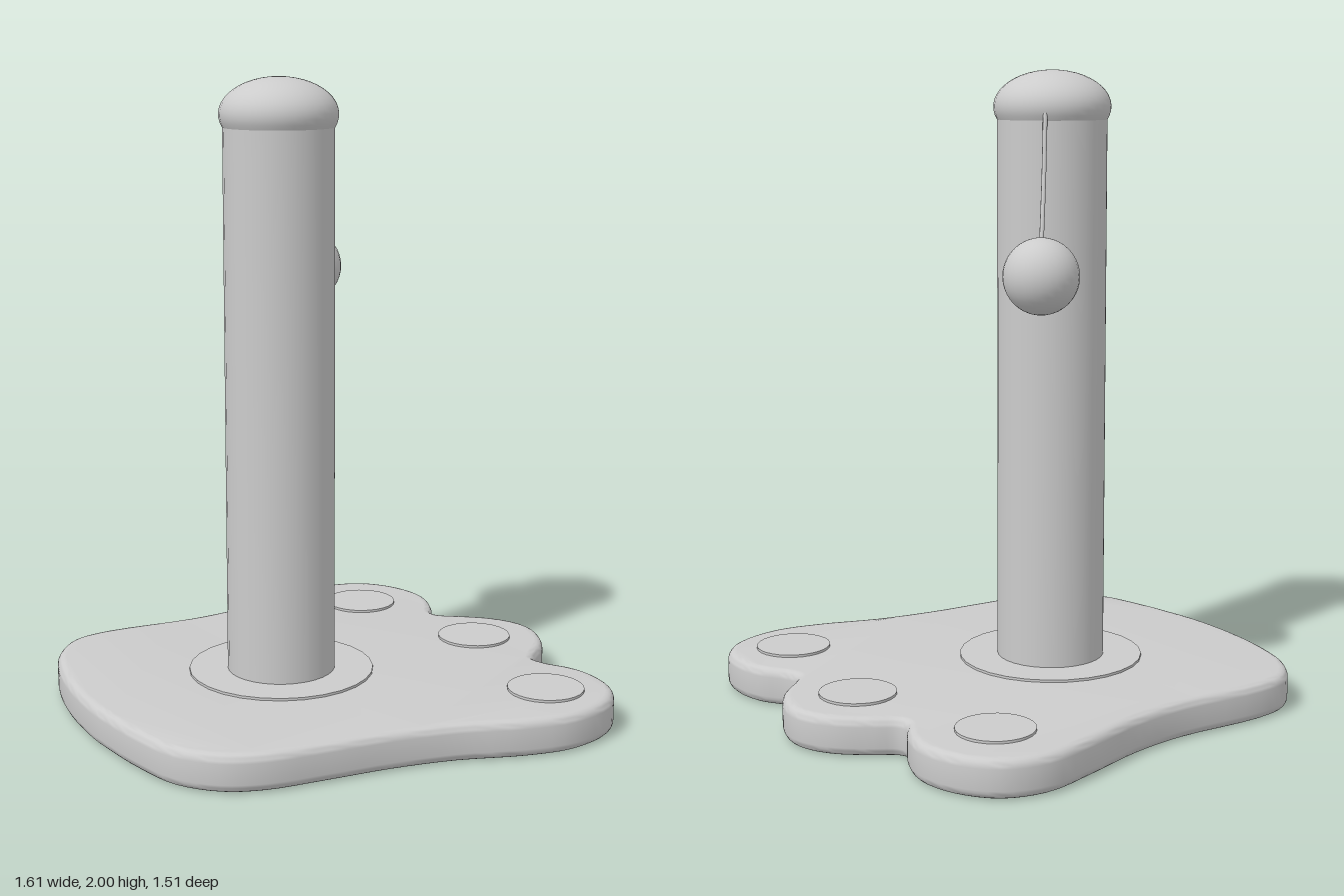
import * as THREE from 'three';
import { toCreasedNormals } from 'three/addons/utils/BufferGeometryUtils.js';

const POST_X = -0.145, POST_Z = -0.025;
const BASE_TOP = 0.12;

// Paw outline in plan, as x, z pairs
const OUTLINE = [
  [-0.805, 0], [-0.8, -0.2], [-0.77, -0.38], [-0.72, -0.52], [-0.63, -0.62], [-0.5, -0.65],
  [-0.2, -0.637], [0, -0.66], [0.2, -0.715], [0.4, -0.757], [0.54, -0.715], [0.63, -0.6],
  [0.655, -0.47], [0.62, -0.36], [0.585, -0.3], [0.595, -0.265], [0.65, -0.225], [0.74, -0.15],
  [0.79, -0.07], [0.803, 0], [0.785, 0.08], [0.74, 0.16], [0.66, 0.235], [0.635, 0.27],
  [0.65, 0.32], [0.7, 0.4], [0.72, 0.5], [0.7, 0.61], [0.62, 0.7], [0.46, 0.748],
  [0.3, 0.725], [0.1, 0.66], [-0.1, 0.625], [-0.3, 0.61], [-0.5, 0.59], [-0.62, 0.54],
  [-0.72, 0.43], [-0.77, 0.26], [-0.795, 0.1],
];

export function createModel() {
  const group = new THREE.Group();
  const material = new THREE.MeshStandardMaterial({ color: 0xcccccc });

  const add = (name, geometry, x = 0, y = 0, z = 0) => {
    const mesh = new THREE.Mesh(geometry, material);
    mesh.name = name;
    mesh.position.set(x, y, z);
    group.add(mesh);
    return mesh;
  };

  // Paw-shaped base with rounded edges
  const curve = new THREE.CatmullRomCurve3(
    OUTLINE.map(([x, z]) => new THREE.Vector3(x, z, 0)), true, 'centripetal');
  const shape = new THREE.Shape(
    curve.getPoints(156).slice(0, -1).map((p) => new THREE.Vector2(p.x, p.y)));
  const bevel = 0.028;
  const baseGeometry = new THREE.ExtrudeGeometry(shape, {
    depth: BASE_TOP - 2 * bevel, bevelThickness: bevel, bevelSize: bevel,
    bevelOffset: -bevel, bevelSegments: 5,
  });
  baseGeometry.rotateX(Math.PI / 2);
  baseGeometry.translate(0, BASE_TOP - bevel, 0);
  add('base', toCreasedNormals(baseGeometry, 0.7));

  // Thin discs lying on the base: post surround and three toe pads
  const addDisc = (name, radius, x, z) =>
    add(name, new THREE.CylinderGeometry(radius, radius, 0.02, 28), x, BASE_TOP - 0.002, z);
  addDisc('postSurround', 0.295, POST_X, POST_Z);
  [[0.5, 0.53], [0.57, 0], [0.41, -0.505]].forEach(([x, z], i) =>
    addDisc(`toePad${i + 1}`, 0.12, x, z));

  // Scratching post
  add('post', new THREE.CylinderGeometry(0.172, 0.172, 1.77, 32), POST_X, 0.985, POST_Z);

  // Domed cap, flat underneath
  const profile = [new THREE.Vector2(0, 1.845), new THREE.Vector2(0.172, 1.845)];
  for (let i = 0; i <= 14; i++) {
    const a = -0.37 + (i / 14) * (Math.PI / 2 + 0.37);
    profile.push(new THREE.Vector2(
      Math.max(0, 0.184 * Math.cos(a)), 1.887 + 0.113 * Math.sin(a)));
  }
  add('cap', toCreasedNormals(new THREE.LatheGeometry(profile, 32), 0.8), POST_X, 0, POST_Z);

  // Hanging ball on a slightly slack string
  const ball = new THREE.Vector3(0.05, 1.387, -0.233);
  add('ball', new THREE.SphereGeometry(0.117, 28, 20), ball.x, ball.y, ball.z);
  const string = new THREE.CatmullRomCurve3([
    new THREE.Vector3(-0.025, 1.88, -0.15),
    new THREE.Vector3(0.005, 1.68, -0.184),
    new THREE.Vector3(0.045, 1.5, -0.228),
    new THREE.Vector3(0.05, 1.47, -0.233),
  ]);
  add('string', new THREE.TubeGeometry(string, 16, 0.007, 8));

  return group;
}
